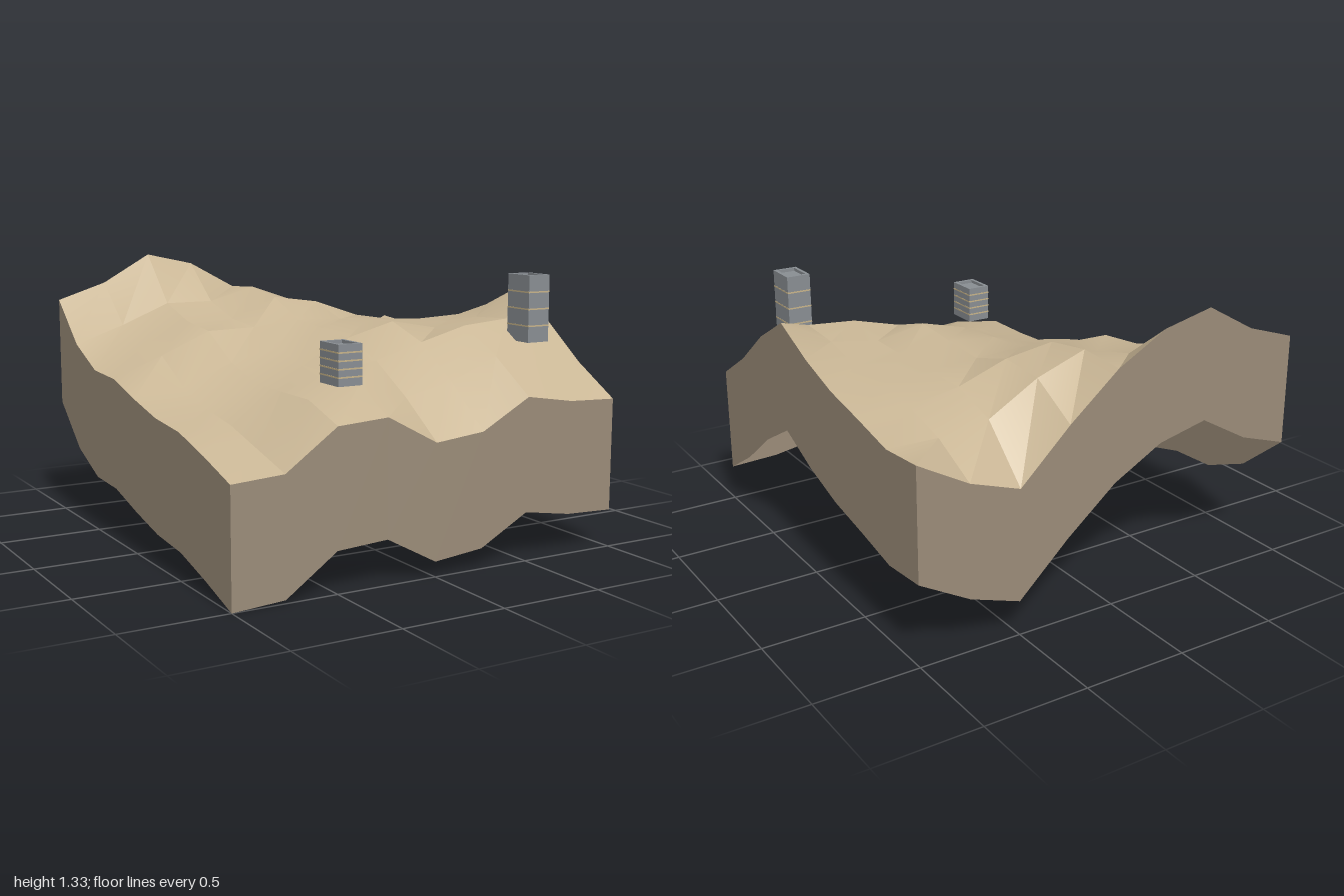
import * as THREE from 'three';
import { toCreasedNormals } from 'three/addons/utils/BufferGeometryUtils.js';

const sand = new THREE.MeshStandardMaterial({ color: 0xcab796, side: THREE.DoubleSide });
sand.name = 'sand';
const earth = new THREE.MeshStandardMaterial({ color: 0x9b8c79, side: THREE.DoubleSide });
earth.name = 'earth';
const concrete = new THREE.MeshStandardMaterial({ color: 0x898e93 });
concrete.name = 'concrete';
const band = new THREE.MeshStandardMaterial({ color: 0xc8b48a });
band.name = 'band';

// Ground heights in hundredths, rows from back to front, columns from x = -1 to x = 1
const N = 8;
const STEP = 2 / N;
const DEPTH = 0.535;
const heights = [
  [111, 119, 133, 127.5, 114, 93.5, 70, 78.5, 92.5],
  [90.5, 99, 109, 109, 115.5, 107, 93, 90, 90.5],
  [80.5, 91, 102, 102, 112, 108.5, 100, 96, 95.5],
  [79.5, 89, 99.5, 100, 102.5, 101.5, 100, 99, 100],
  [73.5, 77, 87, 93, 100.5, 103, 100, 100, 107.5],
  [68.5, 70.5, 80.5, 87, 98.5, 105, 100.5, 104.5, 118],
  [66.5, 67, 80, 86.5, 90.5, 97.5, 104, 106, 104.5],
  [60.5, 61, 80, 84, 77, 82, 92, 91, 86],
  [53.5, 55, 72.5, 74, 60.5, 63, 76.5, 72.5, 71.5],
];

function groundPoint(col, row) {
  return [-1 + col * STEP, heights[row][col] / 100, -1 + row * STEP];
}

function add(parent, name, geometry, material, x = 0, y = 0, z = 0) {
  const mesh = new THREE.Mesh(geometry, material);
  mesh.name = name;
  mesh.position.set(x, y, z);
  parent.add(mesh);
  return mesh;
}

// Rolling ground surface, smooth except along sharp folds
function makeGround() {
  const geometry = new THREE.PlaneGeometry(2, 2, N, N).rotateX(-Math.PI / 2);
  const position = geometry.attributes.position;
  for (let row = 0; row <= N; row++) {
    for (let col = 0; col <= N; col++) {
      position.setXYZ(row * (N + 1) + col, ...groundPoint(col, row));
    }
  }
  return toCreasedNormals(geometry, 0.35);
}

// Wall around the border that follows the ground at its top and bottom
function makeSkirt() {
  const loop = [];
  for (let i = 0; i < N; i++) loop.push(groundPoint(i, N));
  for (let i = 0; i < N; i++) loop.push(groundPoint(N, N - i));
  for (let i = 0; i < N; i++) loop.push(groundPoint(N - i, 0));
  for (let i = 0; i < N; i++) loop.push(groundPoint(0, i));
  const vertices = [];
  loop.forEach((a, i) => {
    const b = loop[(i + 1) % loop.length];
    const a0 = [a[0], a[1] - DEPTH, a[2]];
    const b0 = [b[0], b[1] - DEPTH, b[2]];
    vertices.push(...a0, ...b0, ...b, ...a0, ...b, ...a);
  });
  const geometry = new THREE.BufferGeometry();
  geometry.setAttribute('position', new THREE.Float32BufferAttribute(vertices, 3));
  geometry.computeVertexNormals();
  return geometry;
}

// Rectangular tower block with floor bands and a sunken roof
function makeTower(name, x, z, bottom, top, bandStep, bandCount) {
  const W = 0.12, D = 0.16, RIM = 0.016, SINK = 0.015;
  const tower = new THREE.Group();
  tower.name = name;
  tower.position.set(x, 0, z);
  const bodyHeight = top - SINK - bottom;
  add(tower, 'towerBody', new THREE.BoxGeometry(W, bodyHeight, D), concrete, 0, bottom + bodyHeight / 2, 0);
  for (const side of [-1, 1]) {
    add(tower, 'parapetSide', new THREE.BoxGeometry(RIM, SINK, D), concrete,
      side * (W - RIM) / 2, top - SINK / 2, 0);
    add(tower, 'parapetEnd', new THREE.BoxGeometry(W - 2 * RIM, SINK, RIM), concrete,
      0, top - SINK / 2, side * (D - RIM) / 2);
  }
  for (let i = 1; i <= bandCount; i++) {
    add(tower, 'floorBand', new THREE.BoxGeometry(W + 0.002, 0.007, D + 0.002), band,
      0, top - i * bandStep, 0);
  }
  return tower;
}

export function createModel() {
  const model = new THREE.Group();
  model.name = 'terrainBlock';
  add(model, 'ground', makeGround(), sand);
  add(model, 'skirt', makeSkirt(), earth);
  model.add(makeTower('shortTower', -0.337, 0.748, 0.857, 1.04, 0.036, 4));
  model.add(makeTower('tallTower', 0.75, 0.665, 0.97, 1.288, 0.08, 3));
  return model;
}
